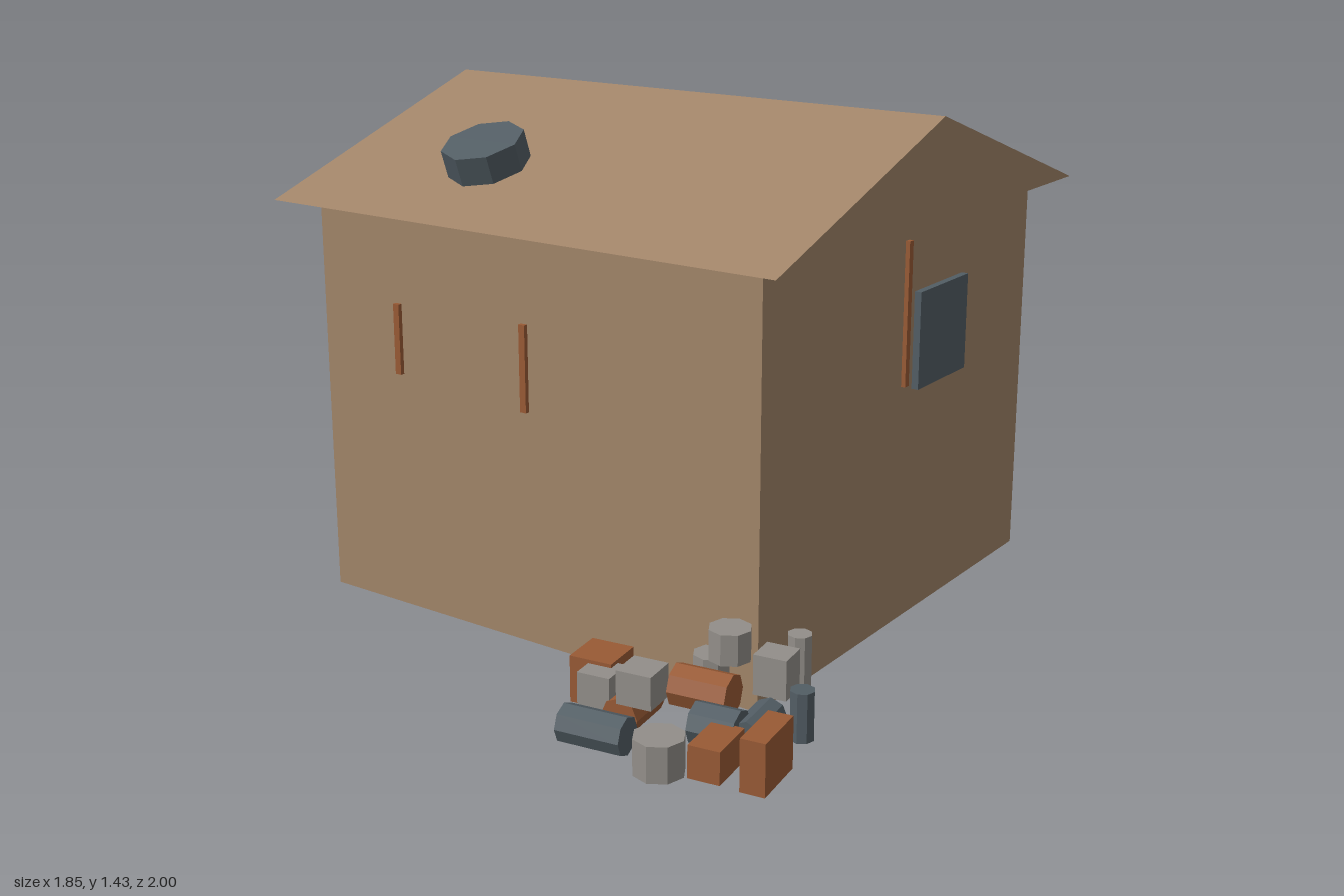
import * as THREE from 'three';

const mat = (name, color) => {
  const m = new THREE.MeshStandardMaterial({ color, flatShading: true });
  m.name = name;
  return m;
};

export function createModel() {
  const brown = mat('adobe brown', 0xa08468);
  const grey = mat('stone grey', 0x928e89);
  const slate = mat('slate', 0x525d64);
  const rust = mat('rust', 0x985a35);

  const model = new THREE.Group();
  model.name = 'hut';

  const add = (parent, name, geo, material, x, y, z) => {
    const m = new THREE.Mesh(geo, material);
    m.name = name;
    m.position.set(x, y, z);
    parent.add(m);
    return m;
  };
  const box = (parent, name, material, w, h, d, x, y, z) =>
    add(parent, name, new THREE.BoxGeometry(w, h, d), material, x, y, z);
  const drum = (parent, name, material, r, h, x, y, z) =>
    add(parent, name, new THREE.CylinderGeometry(r, r, h, 8), material, x, y, z);

  // House, turned very slightly
  const house = new THREE.Group();
  house.name = 'house';
  house.position.set(-0.0875, 0, -0.1725);
  house.rotation.y = 0.019;
  model.add(house);

  // Hollow walls, open underneath
  const W = 1.467, D = 1.447, H = 1.15, T = 0.025;
  box(house, 'frontWall', brown, W, H, T, 0, H / 2, D / 2 - T / 2);
  box(house, 'backWall', brown, W, H, T, 0, H / 2, -D / 2 + T / 2);
  box(house, 'leftWall', brown, T, H, D - 2 * T, W / 2 - T / 2, H / 2, 0);
  box(house, 'rightWall', grey, T, H, D - 2 * T, -W / 2 + T / 2, H / 2, 0);

  // Gabled roof prism
  const gable = new THREE.Shape();
  gable.moveTo(-0.812, 0);
  gable.lineTo(0.812, 0);
  gable.lineTo(0, 0.278);
  gable.closePath();
  const roofGeo = new THREE.ExtrudeGeometry(gable, { depth: 1.65, bevelEnabled: false });
  roofGeo.translate(0, 0, -0.825);
  roofGeo.rotateY(Math.PI / 2);
  add(house, 'roof', roofGeo, brown, 0, H, 0);

  // Wall slats, window, door and knob
  box(house, 'frontSlat', rust, 0.02, 0.2, 0.025, -0.451, 0.79, D / 2);
  box(house, 'frontSlat', rust, 0.02, 0.24, 0.025, -0.0045, 0.78, D / 2);
  box(house, 'sideSlat', rust, 0.025, 0.405, 0.02, W / 2, 0.8875, 0.0115);
  box(house, 'window', slate, 0.04, 0.275, 0.275, W / 2, 0.8025, -0.176);
  box(house, 'door', brown, 0.376, 0.88, 0.02, 0.012, 0.44, -D / 2);
  drum(house, 'doorKnob', slate, 0.014, 0.04, 0.155, 0.468, -D / 2 - 0.02).rotation.x = Math.PI / 2;

  // Roof vent, square to the slope
  drum(model, 'roofVent', slate, 0.116, 0.08, -0.367, 1.294, 0.3625).rotation.x = 0.34;

  // Rubble heap at the front left corner
  const rubble = new THREE.Group();
  rubble.name = 'rubble';
  model.add(rubble);
  const TURN = 0.17;

  // Blocks: material, width, height, depth, x, y, z
  [
    [rust, 0.118, 0.125, 0.118, 0.34, 0.102, 0.762],
    [grey, 0.09, 0.09, 0.09, 0.39, 0.11, 0.825],
    [grey, 0.095, 0.088, 0.095, 0.522, 0.156, 0.833],
    [rust, 0.083, 0.085, 0.135, 0.785, 0.078, 0.895],
    [rust, 0.065, 0.137, 0.16, 0.878, 0.075, 0.823],
    [grey, 0.09, 0.108, 0.085, 0.712, 0.126, 0.532],
  ].forEach(([m, w, h, d, x, y, z]) => {
    box(rubble, 'block', m, w, h, d, x, y, z).rotation.y = TURN;
  });

  // Drums: material, radius, length, x, y, z, long axis
  [
    [rust, 0.055, 0.155, 0.632, 0.13, 0.728, 'x'],
    [rust, 0.05, 0.155, 0.457, 0.06, 0.783, 'z'],
    [slate, 0.05, 0.175, 0.452, 0.052, 0.928, 'x'],
    [slate, 0.054, 0.12, 0.725, 0.09, 0.803, 'x'],
    [slate, 0.045, 0.145, 0.792, 0.08, 0.73, 'z'],
    [grey, 0.066, 0.095, 0.645, 0.048, 0.93, 'y'],
    [grey, 0.056, 0.082, 0.635, 0.218, 0.625, 'y'],
    [grey, 0.048, 0.08, 0.572, 0.13, 0.615, 'y'],
    [slate, 0.032, 0.13, 0.845, 0.085, 0.62, 'y'],
    [grey, 0.033, 0.175, 0.7, 0.093, 0.407, 'y'],
  ].forEach(([m, r, h, x, y, z, axis]) => {
    const d = drum(rubble, 'drum', m, r, h, x, y, z);
    if (axis === 'x') d.geometry.rotateZ(Math.PI / 2);
    if (axis === 'z') d.geometry.rotateX(Math.PI / 2);
    d.rotation.y = TURN;
  });

  return model;
}
